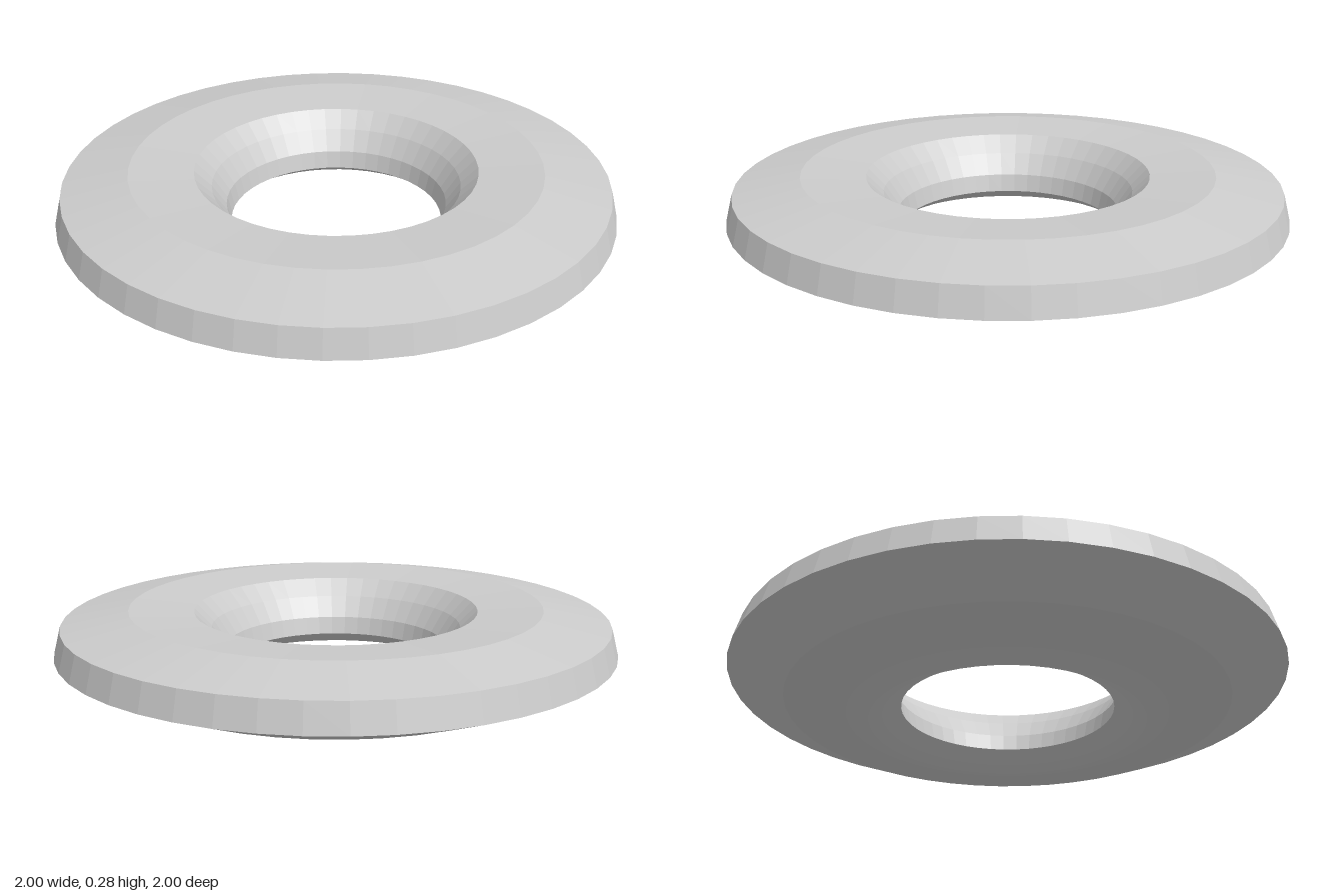
import * as THREE from 'three';

export function createModel() {
  const group = new THREE.Group();
  group.name = 'ring';

  // Closed cross-section [radius, height]: underside, outer rim, top, then down the bore
  const profile = [
    [0.5, 0], [0.58, 0.02], [0.8, 0.055],
    [1, 0.14], [0.975, 0.235],
    [0.74, 0.28], [0.51, 0.262],
    [0.45, 0.2], [0.4, 0.125], [0.385, 0.06], [0.45, 0.02],
    [0.5, 0],
  ].map(([r, y]) => new THREE.Vector2(r, y));

  // Faceted ring turned around the vertical axis
  const disc = new THREE.Mesh(
    new THREE.LatheGeometry(profile, 48),
    new THREE.MeshStandardMaterial({ color: 0xcccccc, flatShading: true })
  );
  disc.name = 'ringBody';
  group.add(disc);
  return group;
}
